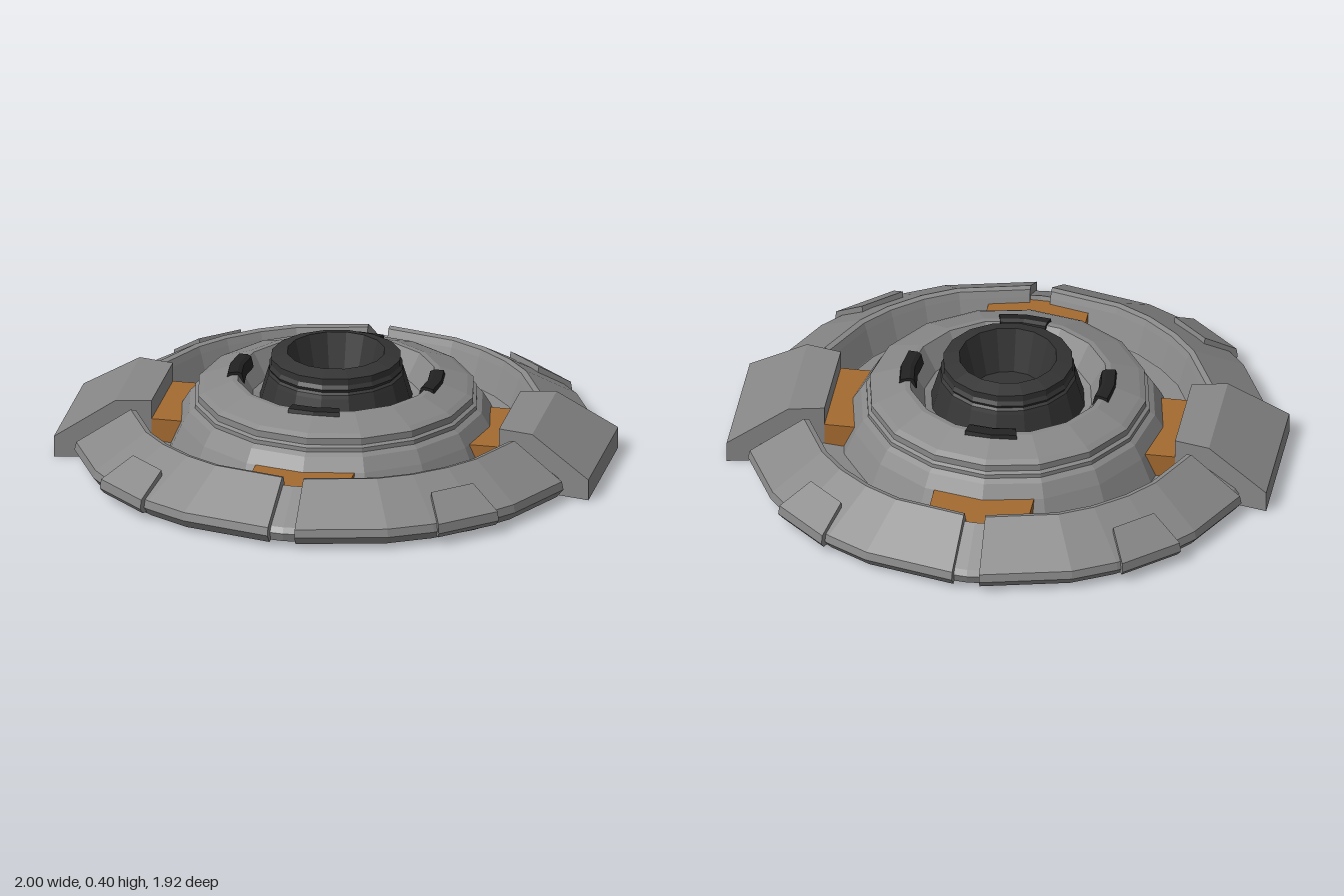
import * as THREE from 'three';

const mat = (color) => new THREE.MeshStandardMaterial({ color, flatShading: true });
const deg = Math.PI / 180;

export function createModel() {
  const model = new THREE.Group();
  const grey = mat(0x888888), dark = mat(0x343434), black = mat(0x222222), orange = mat(0xa56b30);

  const add = (name, geometry, material, turn = 0) => {
    const mesh = new THREE.Mesh(geometry, material);
    mesh.name = name;
    mesh.rotation.y = turn;
    model.add(mesh);
    return mesh;
  };
  const points = (list) => list.map(([a, b]) => new THREE.Vector2(a, b));
  const lathe = (list, sides) => new THREE.LatheGeometry(points(list), sides);

  // Move every vertex of an extruded (radius, height) profile by a rule
  const bend = (profile, steps, rule) => {
    const g = new THREE.ExtrudeGeometry(new THREE.Shape(points(profile)),
      { depth: 1, steps, bevelEnabled: false });
    const p = g.attributes.position;
    for (let i = 0; i < p.count; i++) p.setXYZ(i, ...rule(p.getX(i), p.getY(i), p.getZ(i)));
    g.computeVertexNormals();
    return g;
  };

  // Arc piece: profile swept through a list of angles measured from +z
  const sector = (profile, angles) => {
    const steps = angles.length - 1;
    return bend(profile, steps, (r, y, t) => {
      const a = angles[steps - Math.round(t * steps)] * deg;
      return [r * Math.sin(a), y, r * Math.cos(a)];
    });
  };

  // Block pointing along +x, tapering from half width w0 at d0 to w1 at d1
  const block = (profile, d0, w0, d1, w1) => bend(profile, 1, (d, y, t) =>
    [d, y, (2 * t - 1) * (w0 + (w1 - w0) * (d - d0) / (d1 - d0))]);

  // Recessed core that shows in the gaps between the rim plates
  add('core', lathe([[0, 0.018], [0.92, 0.018], [0.93, 0.05], [0.915, 0.07], [0.745, 0.165],
    [0.71, 0.07], [0.6, 0.06]], 32), grey);

  // Underside plates
  add('underside', lathe([[0, 0.016], [0.65, 0.016], [0.925, 0.017]], 32), dark).position.y = -0.001;
  add('undersideHub', new THREE.CylinderGeometry(0.3, 0.3, 0.012, 32), black).position.y = 0.019;

  // Four sloped rim plates
  const rim = [[0.64, 0.016], [0.935, 0.016], [0.962, 0.05], [0.955, 0.08], [0.755, 0.2],
    [0.735, 0.195], [0.725, 0.17], [0.69, 0.07]];
  const arc = [3, 23.5, 34, 45, 55, 72];
  for (const start of [0, 180]) {
    add('rimPlate', sector(rim, arc.map((a) => a + start)), grey);
    add('rimPlate', sector(rim, arc.map((a) => start - a).reverse()), grey);
  }

  // Stepped dome with a bowl in its middle
  add('dome', lathe([[0.62, 0.05], [0.575, 0.15], [0.545, 0.2], [0.525, 0.212], [0.525, 0.228],
    [0.512, 0.235], [0.512, 0.26], [0.49, 0.272], [0.385, 0.31], [0.365, 0.31], [0.31, 0.22],
    [0.25, 0.2]], 16), grey);

  // Central hub with an open well
  add('hub', lathe([[0.29, 0.19], [0.255, 0.31], [0.25, 0.325], [0.24, 0.332], [0.248, 0.345],
    [0.24, 0.36], [0.24, 0.385], [0.18, 0.402], [0.135, 0.24], [0, 0.24]], 16), dark);

  // Clips over the bowl rim and orange blocks in the groove, one per quarter
  const clip = [[0.335, 0.275], [0.36, 0.295], [0.385, 0.295], [0.4, 0.3], [0.395, 0.318],
    [0.36, 0.322], [0.345, 0.315]];
  const insert = [[0.5, 0.06], [0.72, 0.06], [0.735, 0.15], [0.5, 0.15]];
  for (let i = 0; i < 4; i++) {
    add('clip', sector(clip, [-14, 0, 14]), black, i * 90 * deg);
    add('grooveInsert', block(insert, 0, 0.185, 1, 0.185), orange, i * 90 * deg);
  }

  // Large side wings
  const wing = [[0.65, 0], [1, 0], [1, 0.08], [0.78, 0.222], [0.65, 0.222]];
  for (const turn of [0, Math.PI]) add('wing', block(wing, 0.65, 0.185, 1, 0.26), grey, turn);

  // Small raised blocks on the rim
  const lug = [[0.85, 0.03], [0.96, 0.03], [0.975, 0.05], [0.97, 0.085], [0.852, 0.163], [0.845, 0.12]];
  for (const angle of [48, 132, 228, 312])
    add('rimBlock', block(lug, 0.85, 0.088, 0.97, 0.125), grey, angle * deg);

  return model;
}
